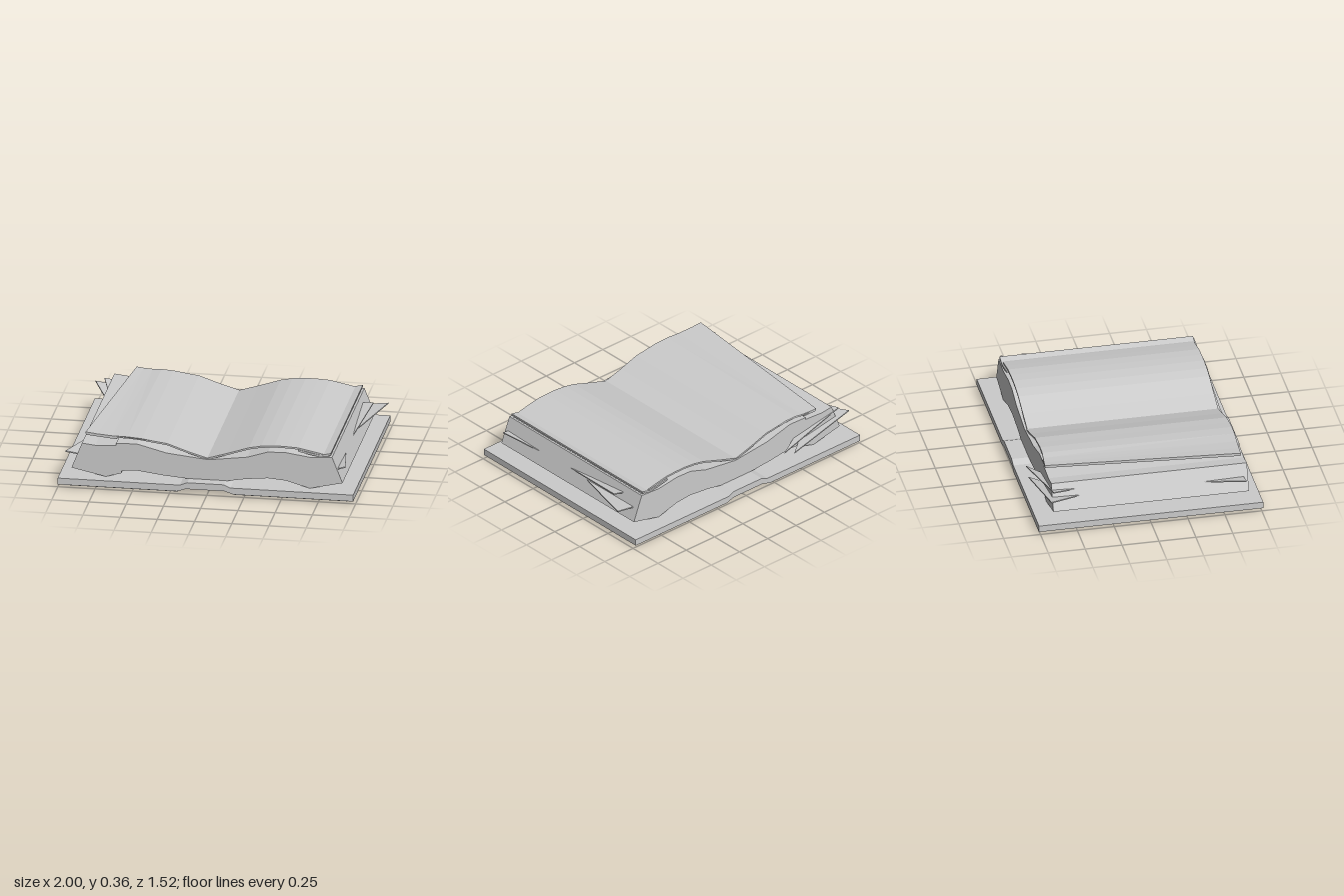
import * as THREE from 'three';
import { ConvexGeometry } from 'three/addons/geometries/ConvexGeometry.js';

const material = new THREE.MeshStandardMaterial({ color: 0xcccccc, side: THREE.DoubleSide });

function shapeOf(points) {
  return new THREE.Shape(points.map(([x, y]) => new THREE.Vector2(x, y)));
}

// Extrudes an x-y outline from z0 to z1
function extrudeZ(points, z0, z1) {
  const geo = new THREE.ExtrudeGeometry(shapeOf(points), { depth: z1 - z0, bevelEnabled: false });
  return geo.translate(0, 0, z0);
}

// Extrudes a plan (x-z) shape between two heights
function extrudeY(shape, y0, y1) {
  const geo = new THREE.ExtrudeGeometry(shape, { depth: y1 - y0, bevelEnabled: false });
  return geo.rotateX(Math.PI / 2).translate(0, y1, 0);
}

function rectangle(x0, x1, z0, z1, Type = THREE.Shape) {
  return new Type([[x0, z0], [x1, z0], [x1, z1], [x0, z1]].map(([x, z]) => new THREE.Vector2(x, z)));
}

// Thin strip that follows a line of top points
function strip(top, thickness) {
  return [...top, ...top.map(([x, y]) => [x, y - thickness]).reverse()];
}

// Thin triangular sheet
function sheet(corners, thickness = 0.008) {
  const pts = corners.flatMap(([x, y, z]) => [
    new THREE.Vector3(x, y, z), new THREE.Vector3(x, y - thickness, z)]);
  return new ConvexGeometry(pts);
}

export function createModel() {
  const group = new THREE.Group();
  const add = (name, geo) => {
    const mesh = new THREE.Mesh(geo, material);
    mesh.name = name;
    group.add(mesh);
  };

  // Cover boards joined by the raised spine
  add('cover', extrudeZ([
    [-1, 0.02], [-0.2, 0.02], [-0.14, 0.04], [0.12, 0.04], [0.18, 0.02], [0.985, 0.02],
    [0.985, 0.065], [0.16, 0.065], [0.115, 0.085], [-0.13, 0.085], [-0.18, 0.065], [-1, 0.065],
  ], -0.76, 0.76));

  // Raised frames and corner pieces on the outside of both boards
  for (const [side, x0, x1] of [['right', -0.96, -0.2], ['left', 0.18, 0.94]]) {
    const z0 = -0.715, z1 = 0.71;
    for (const [name, a, b, low] of [['Frame', 0, 0.03, 0], ['InnerFrame', 0.042, 0.058, 0.006]]) {
      const ring = rectangle(x0 + a, x1 - a, z0 + a, z1 - a);
      ring.holes.push(rectangle(x0 + b, x1 - b, z0 + b, z1 - b, THREE.Path));
      add(side + name, extrudeY(ring, low, 0.021));
    }
    for (const sx of [-1, 1]) for (const sz of [-1, 1]) {
      const cx = sx < 0 ? x0 + 0.075 : x1 - 0.075;
      const cz = sz < 0 ? z0 + 0.075 : z1 - 0.075;
      const corner = shapeOf([[cx, cz], [cx - sx * 0.11, cz], [cx, cz - sz * 0.11]]);
      add(side + 'Corner', extrudeY(corner, 0.006, 0.021));
    }
  }

  // Thick block of pages
  add('pageBlock', extrudeZ([
    [-0.92, 0.115], [-0.69, 0.065], [-0.585, 0.095], [-0.585, 0.112], [-0.48, 0.12], [-0.3, 0.097],
    [-0.13, 0.083], [0.12, 0.083], [0.25, 0.105], [0.4, 0.12], [0.52, 0.11], [0.68, 0.065],
    [0.9, 0.115], [0.83, 0.293], [0.68, 0.285], [0.52, 0.308], [0.4, 0.305], [0.26, 0.26],
    [0, 0.226], [-0.28, 0.256], [-0.48, 0.308], [-0.62, 0.305], [-0.62, 0.29], [-0.76, 0.282],
    [-0.85, 0.292],
  ], -0.645, 0.68));

  // Open pages lifting off the block
  add('leftPage', extrudeZ(strip([
    [-0.01, 0.232], [0.12, 0.272], [0.27, 0.322], [0.35, 0.338], [0.44, 0.346], [0.52, 0.345],
    [0.6, 0.341], [0.68, 0.325], [0.75, 0.31], [0.815, 0.294],
  ], 0.012), -0.63, 0.665));
  add('leftUnderPage', extrudeZ(strip([
    [0.6, 0.33], [0.68, 0.312], [0.75, 0.3], [0.82, 0.316],
  ], 0.013), -0.64, 0.67));

  // Opposite page, its outer part skewed toward the spine at the back
  const skewed = extrudeZ(strip([
    [-0.765, 0.353], [-0.7, 0.347], [-0.62, 0.344], [-0.54, 0.347], [-0.45, 0.342], [-0.37, 0.33],
    [-0.28, 0.318], [-0.14, 0.27], [-0.01, 0.232],
  ], 0.012), -0.635, 0.665);
  const pos = skewed.attributes.position;
  for (let i = 0; i < pos.count; i++) {
    const t = Math.max(0, (-pos.getX(i) - 0.5) / 0.265);
    const z = pos.getZ(i);
    pos.setX(i, pos.getX(i) - 0.1 * t * z);
    pos.setY(i, pos.getY(i) + 0.006 * t * Math.sign(z));
    pos.setZ(i, z - 0.022 * Math.min(1, t));
  }
  skewed.computeVertexNormals();
  add('rightPage', skewed);

  // Second sheet under the skewed one
  add('rightUnderPage', sheet([
    [-0.83, 0.348, 0.64], [-0.62, 0.334, 0.655], [-0.6, 0.334, -0.65], [-0.7, 0.338, -0.655],
  ], 0.01));

  // Torn sheets poking out of the block
  [
    [[-0.98, 0.225, -0.67], [-0.46, 0.13, -0.715], [-0.87, 0.2, -0.42]],
    [[-0.915, 0.26, -0.64], [-0.37, 0.165, -0.715], [-0.865, 0.245, -0.47]],
    [[-0.965, 0.222, 0.655], [-0.87, 0.2, 0.33], [-0.86, 0.205, 0.65]],
    [[0.915, 0.22, 0.645], [0.865, 0.2, 0.32], [0.855, 0.205, 0.655]],
    [[0.998, 0.217, -0.595], [0.86, 0.2, -0.6], [0.87, 0.2, -0.14]],
    [[0.92, 0.262, -0.47], [0.84, 0.25, -0.48], [0.865, 0.212, 0.03]],
  ].forEach((corners) => add('looseSheet', sheet(corners)));

  return group;
}
